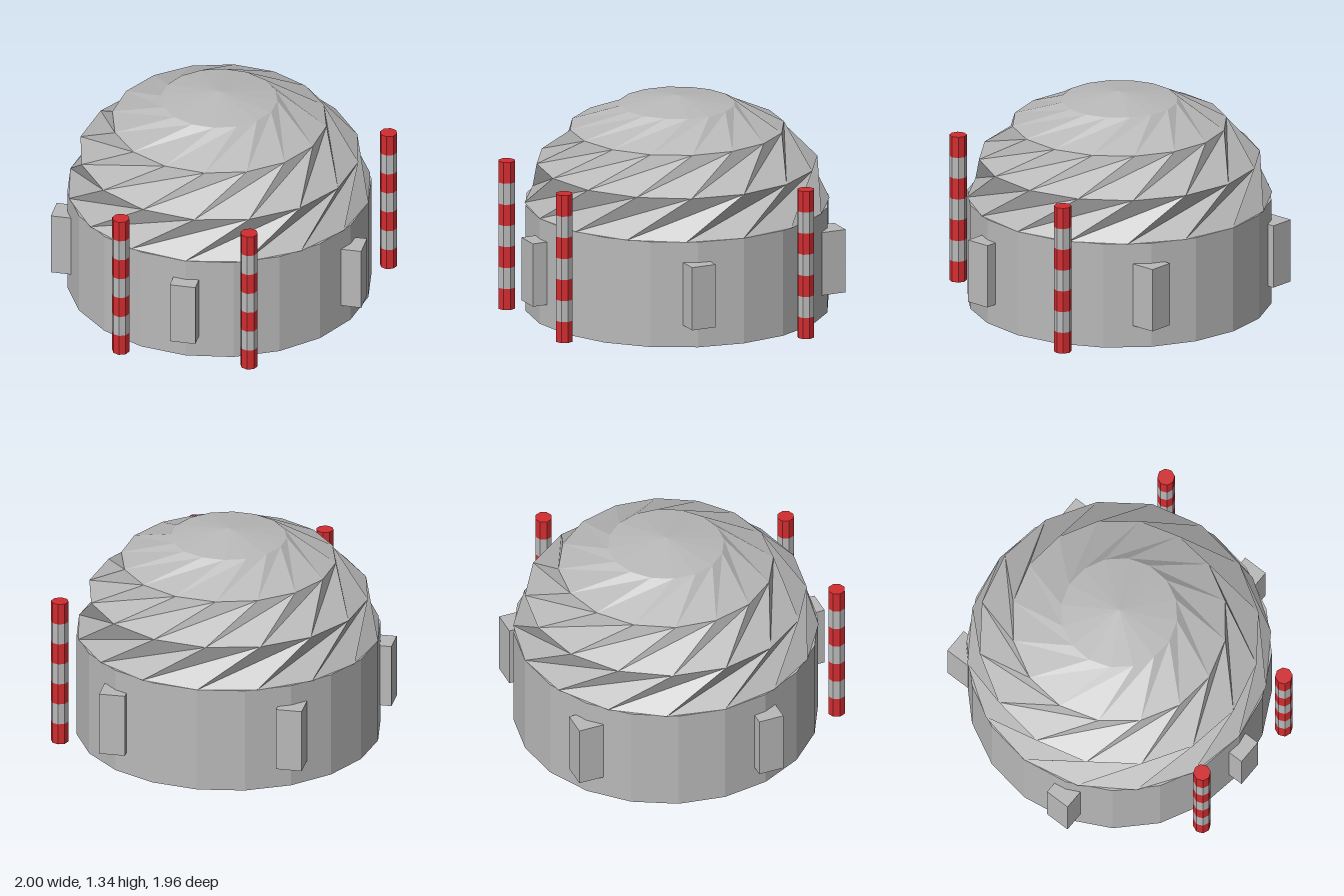
import * as THREE from 'three';

const grey = new THREE.MeshStandardMaterial({ color: 0xb9b9b9, flatShading: true, side: THREE.DoubleSide });
grey.name = 'concrete grey';
const red = new THREE.MeshStandardMaterial({ color: 0xd22c30, flatShading: true });
red.name = 'signal red';

const RADIUS = 0.935, WALL = 0.67;

function add(parent, name, geometry, material, x = 0, y = 0, z = 0) {
  const mesh = new THREE.Mesh(geometry, material);
  mesh.name = name;
  mesh.position.set(x, y, z);
  parent.add(mesh);
  return mesh;
}

// Faceted dome: each ring is twisted against the ring below it
function twistedDome(sides, levels, twist) {
  const point = (level, i) => {
    const lift = (level / levels) * Math.PI / 2;
    const angle = (i / sides) * Math.PI * 2 + level * twist;
    const r = RADIUS * Math.cos(lift);
    return [r * Math.sin(angle), WALL * Math.sin(lift), r * Math.cos(angle)];
  };
  const positions = [];
  for (let k = 0; k < levels; k++) {
    for (let i = 0; i < sides; i++) {
      const a = point(k, i), b = point(k, i + 1);
      const c = point(k + 1, i + 1), d = point(k + 1, i);
      positions.push(...a, ...b, ...c);
      if (k < levels - 1) positions.push(...a, ...c, ...d);
    }
  }
  const geometry = new THREE.BufferGeometry();
  geometry.setAttribute('position', new THREE.Float32BufferAttribute(positions, 3));
  geometry.computeVertexNormals();
  return geometry;
}

// Striped pole made of alternating bands
function stripedPole(x, z) {
  const pole = new THREE.Group();
  pole.name = 'stripedPole';
  const bands = 7, h = 0.94 / bands;
  for (let i = 0; i < bands; i++) {
    const isRed = i % 2 === 0;
    const ended = i === 0 || i === bands - 1;
    add(pole, isRed ? 'redBand' : 'greyBand',
      new THREE.CylinderGeometry(0.054, 0.054, h, 8, 1, !ended),
      isRed ? red : grey, 0, h * (i + 0.5), 0);
  }
  pole.position.set(x, 0, z);
  return pole;
}

export function createModel() {
  const model = new THREE.Group();
  model.name = 'domedBuilding';

  const building = new THREE.Group();
  building.name = 'building';
  building.position.set(-0.025, 0, -0.045);
  model.add(building);

  // Open round wall with a flat ceiling and the dome on top
  add(building, 'wall', new THREE.CylinderGeometry(RADIUS, RADIUS, WALL, 20, 1, true), grey, 0, WALL / 2, 0);
  add(building, 'ceiling', new THREE.CircleGeometry(RADIUS, 20).rotateX(Math.PI / 2), grey, 0, WALL, 0);
  add(building, 'dome', twistedDome(16, 4, THREE.MathUtils.degToRad(25)), grey, 0, WALL, 0);

  // Five blocks set through the wall, all squared to the axes
  for (let i = 0; i < 5; i++) {
    const a = (i / 5) * Math.PI * 2;
    add(building, 'wallBlock', new THREE.BoxGeometry(0.16, 0.4, 0.16), grey,
      0.94 * Math.sin(a), 0.34, 0.94 * Math.cos(a));
  }

  // Free-standing poles
  for (const [x, z] of [[-0.425, 0.92], [0.38, 0.92], [0.945, -0.45]]) model.add(stripedPole(x, z));

  return model;
}
